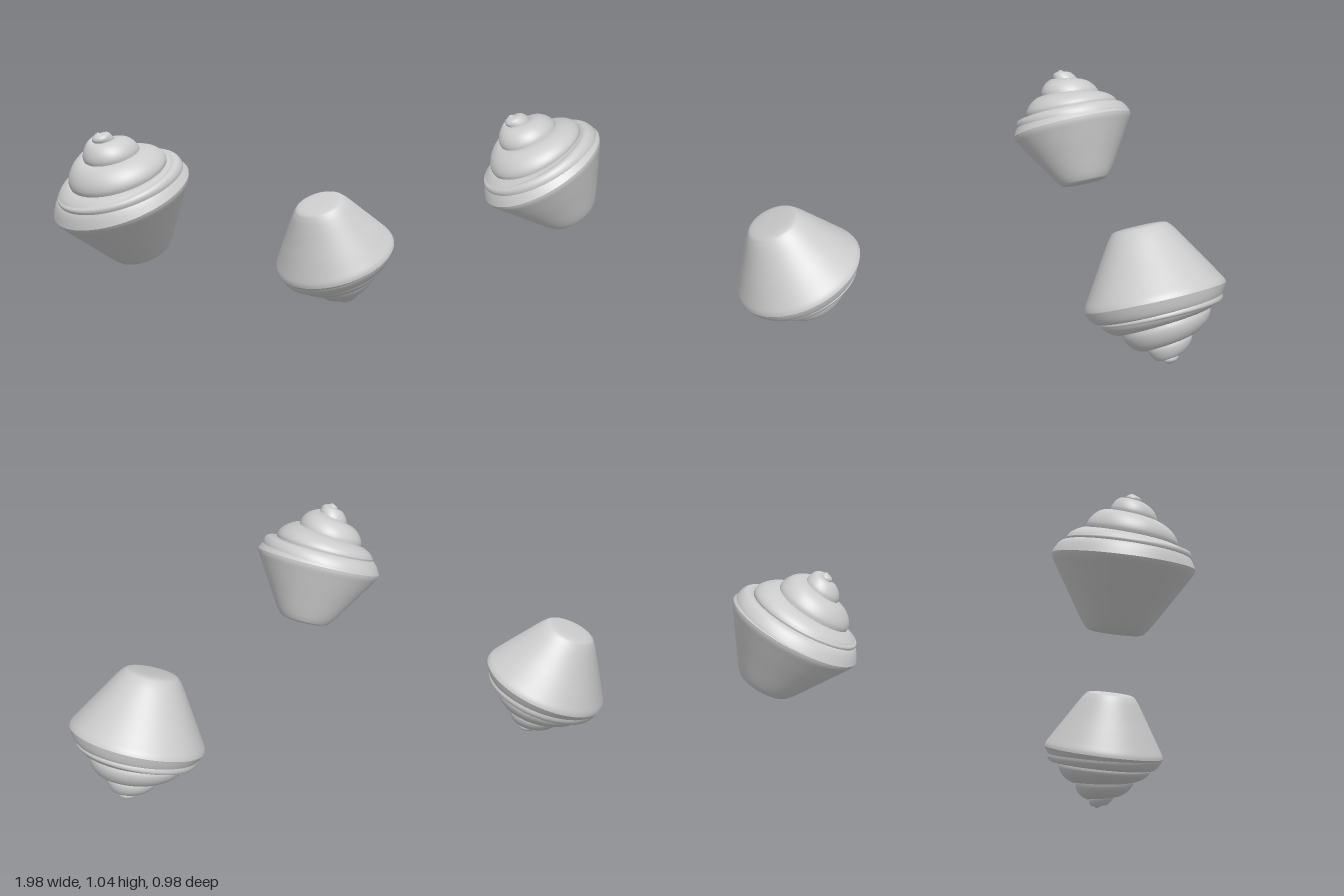
import * as THREE from 'three';

const TILT = 0.452;
const RIM = 0.345;
const clamp = THREE.MathUtils.clamp;

// Seam radius at every half turn, from the tip outwards
const radii = [0, 0.03, 0.05, 0.095, 0.142, 0.2, 0.25, 0.285, 0.32, RIM];
const seam = new THREE.SplineCurve(radii.map((r, i) => new THREE.Vector2(i / 2, r)));
const seamRadius = (w) => (w <= 0 ? 0 : w >= 4.5 ? RIM : Math.min(RIM, seam.getPoint(w / 4.5).y));
const seamHeight = (r) => 0.305 - 0.95 * r + 0.022 * Math.sin(Math.PI * clamp((r - 0.27) / 0.075, 0, 1));

// Spire: one ribbon wound from tip to rim, bulging between its seams
function spireGeometry() {
  const perTurn = 72, across = 14, turns = 5.5;
  const steps = perTurn * turns;
  const pos = [], index = [];
  for (let i = 0; i <= steps; i++) {
    const t = -1 + i / perTurn;
    const a = t * Math.PI * 2;
    const width = seamRadius(t + 1) - seamRadius(t);
    const fade = clamp((3.6 - t) / 0.6, 0, 1);
    for (let j = 0; j <= across; j++) {
      const f = j / across;
      const r0 = seamRadius(t + f);
      const swell = (0.22 * width + 0.006) * fade * Math.pow(Math.max(0, Math.sin(Math.PI * f)), 0.65) * Math.min(1, r0 / 0.025);
      const r = r0 + swell * 0.8;
      pos.push(Math.sin(a) * r, seamHeight(r0) + swell * 0.6, Math.cos(a) * r);
      if (i < steps && j < across) {
        const p = i * (across + 1) + j, q = p + across + 1;
        index.push(p, p + 1, q, q, p + 1, q + 1);
      }
    }
  }
  const g = new THREE.BufferGeometry();
  g.setAttribute('position', new THREE.Float32BufferAttribute(pos, 3));
  g.setIndex(index);
  g.computeVertexNormals();
  return g;
}

// Body: tapering cone with a softly rounded, nearly flat base
function bodyGeometry() {
  const side = new THREE.SplineCurve([
    [0, -0.37], [0.07, -0.369], [0.125, -0.362], [0.15, -0.342], [0.18, -0.3], [0.236, -0.21],
    [0.275, -0.148], [0.315, -0.083], [0.338, -0.045], [RIM, seamHeight(RIM)],
  ].map(([x, y]) => new THREE.Vector2(x, y)));
  const pts = side.getPoints(45);
  pts.forEach((p) => { p.x = clamp(p.x, 0, RIM); });
  return new THREE.LatheGeometry(pts, 72);
}

// Point reflection with the winding put right
function reflect(geometry) {
  const g = geometry.clone();
  const p = g.attributes.position;
  for (let i = 0; i < p.count; i++) p.setXYZ(i, -p.getX(i), -p.getY(i), -p.getZ(i));
  const n = g.attributes.normal;
  for (let i = 0; i < n.count; i++) n.setXYZ(i, -n.getX(i), -n.getY(i), -n.getZ(i));
  const ix = g.index;
  for (let i = 0; i < ix.count; i += 3) {
    const b = ix.getX(i + 1);
    ix.setX(i + 1, ix.getX(i + 2));
    ix.setX(i + 2, b);
  }
  return g;
}

export function createModel() {
  const material = new THREE.MeshStandardMaterial({ color: 0xcccccc });
  const parts = { spire: spireGeometry(), body: bodyGeometry() };
  const model = new THREE.Group();
  model.name = 'shellPair';

  // Upright shell on the right, its reflected twin on the left
  for (const s of [1, -1]) {
    const shell = new THREE.Group();
    shell.name = s > 0 ? 'rightShell' : 'leftShell';
    for (const [name, geometry] of Object.entries(parts)) {
      const mesh = new THREE.Mesh(s > 0 ? geometry : reflect(geometry), material);
      mesh.name = name;
      shell.add(mesh);
    }
    shell.rotation.z = TILT;
    shell.position.set(-0.69 * s, 0.515 + 0.245 * s, -0.145 * s);
    model.add(shell);
  }
  return model;
}
